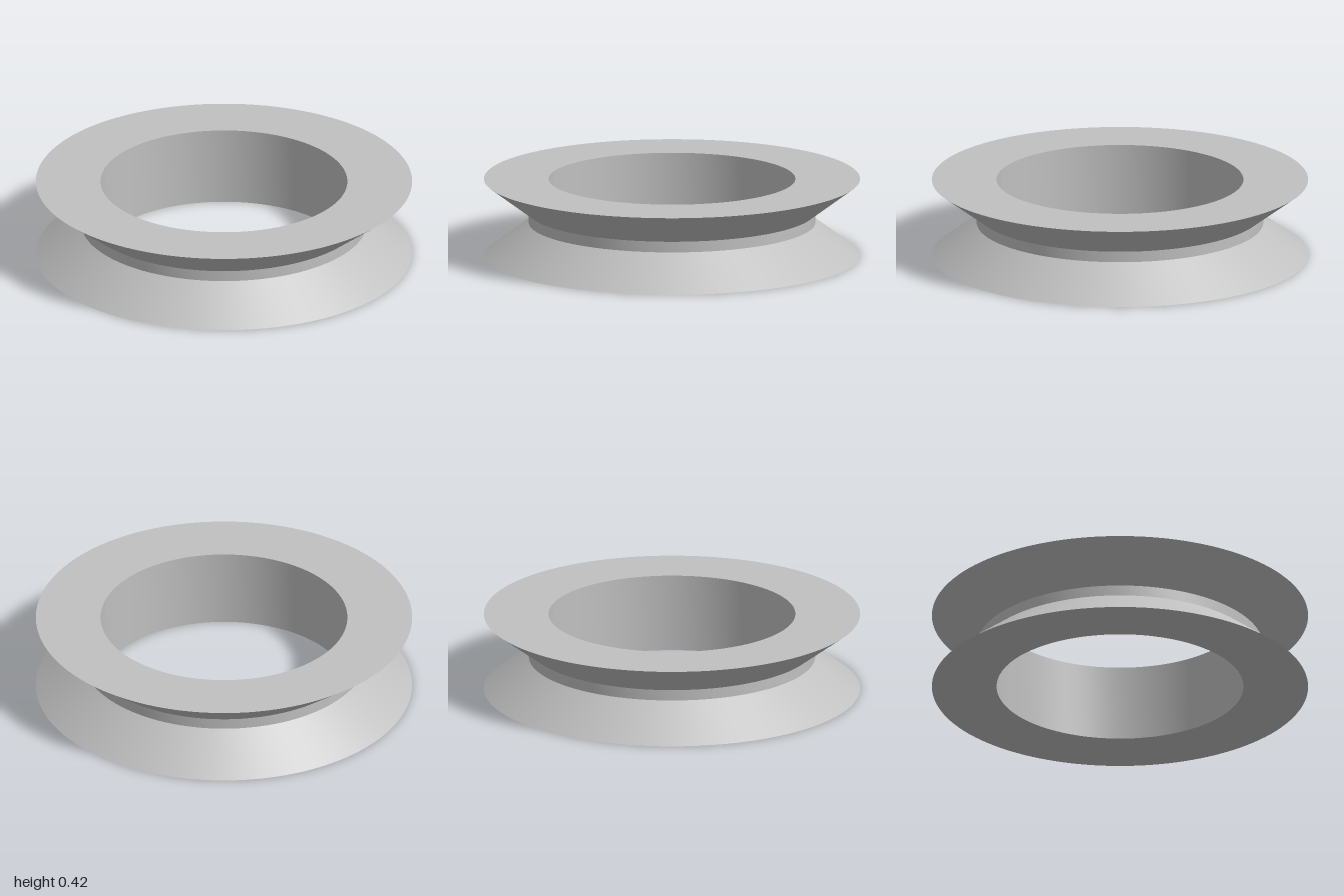
import * as THREE from 'three';
import { toCreasedNormals } from 'three/addons/utils/BufferGeometryUtils.js';

export function createModel() {
  const group = new THREE.Group();
  group.name = 'groovedRing';

  const grey = new THREE.MeshStandardMaterial({ color: 0xc0c0c0 });
  grey.name = 'light grey';

  // Closed cross-section: bore, lower flange, groove floor, upper flange
  const bore = 0.656, rim = 1, floor = 0.762, height = 0.416;
  const profile = [
    [bore, 0], [rim, 0],
    [floor, 0.179], [floor, 0.237],
    [rim, height], [bore, height],
    [bore, 0],
  ].map(([r, y]) => new THREE.Vector2(r, y));

  // Smooth around the ring, sharp at the profile corners
  const geometry = toCreasedNormals(new THREE.LatheGeometry(profile, 128), 0.4);
  const ring = new THREE.Mesh(geometry, grey);
  ring.name = 'pulleyRing';
  group.add(ring);

  return group;
}
